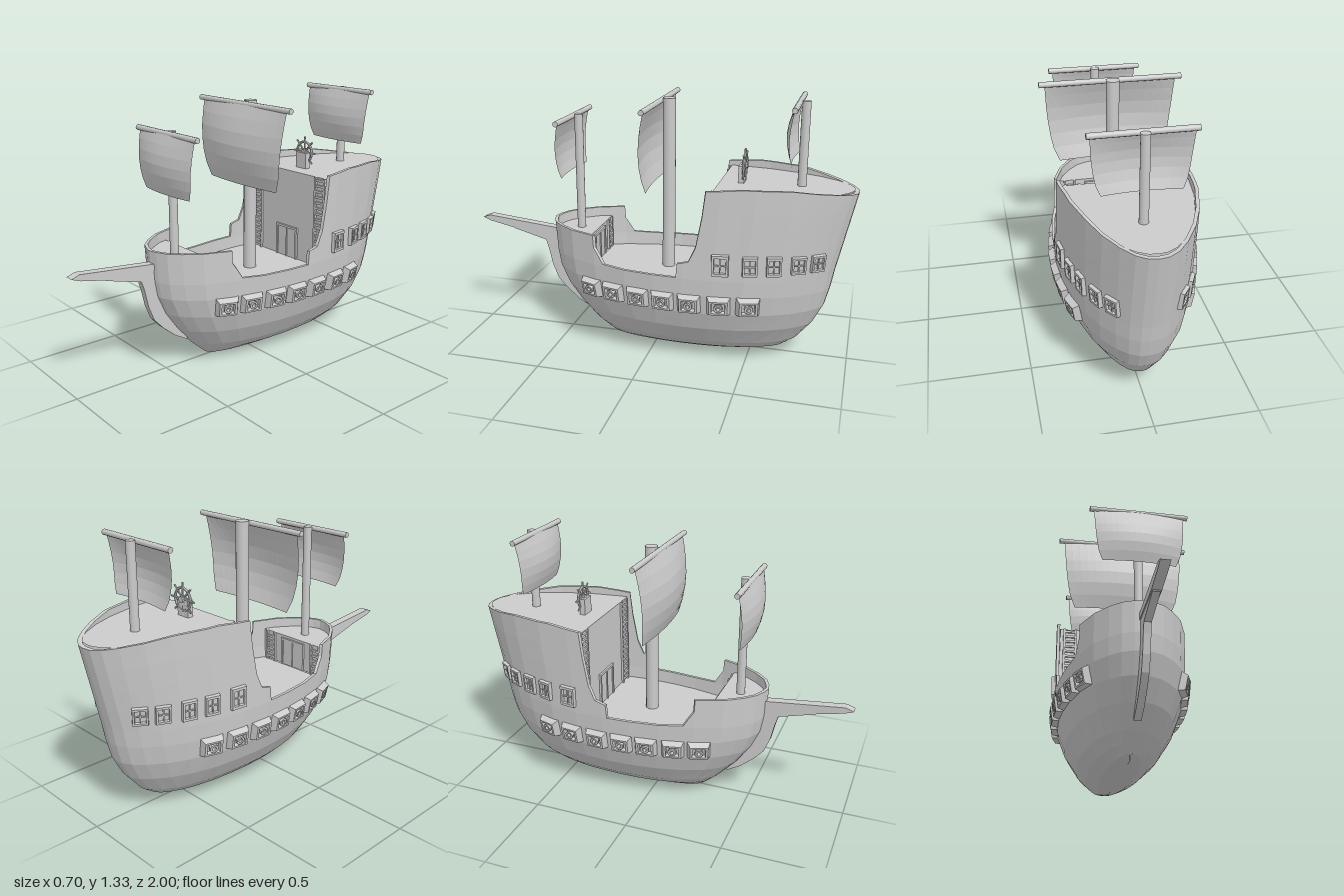
import * as THREE from 'three';

const mat = new THREE.MeshStandardMaterial({ color: 0xcccccc, flatShading: true, side: THREE.DoubleSide });
const smooth = new THREE.MeshStandardMaterial({ color: 0xcccccc });

// Piecewise linear lookup in [[key, value], ...] with ascending keys
function lookup(table, k) {
  if (k <= table[0][0]) return table[0][1];
  for (let i = 1; i < table.length; i++) {
    const [k0, v0] = table[i - 1], [k1, v1] = table[i];
    if (k <= k1) return v0 + (v1 - v0) * (k - k0) / (k1 - k0);
  }
  return table[table.length - 1][1];
}

// Hull lines: bow, stern and half width by height; plan shape and rim height by length
const BOW = [[0, .2], [.015, .25], [.05, .29], [.1, .345], [.2, .435], [.3, .505], [.4, .55], [.485, .565], [.64, .575]];
const STERN = [[0, -.45], [.015, -.53], [.05, -.67], [.1, -.74], [.2, -.82], [.3, -.87], [.4, -.895], [.485, -.91], [.9, -1]];
const WIDTH = [[0, 0], [.015, .085], [.05, .145], [.1, .2], [.2, .265], [.3, .303], [.4, .32], [.485, .325]];
const PLAN = [[-.91, 0], [-.905, .13], [-.88, .28], [-.83, .44], [-.75, .62], [-.65, .77], [-.5, .91], [-.35, .975],
  [-.2, 1], [-.05, .98], [.1, .92], [.27, .8], [.4, .64], [.48, .46], [.53, .3], [.555, .13], [.565, 0]];
const RIM = [[-.91, .895], [-.8, .915], [-.65, .94], [-.45, .945], [-.29, .93], [-.28, .8], [-.26, .65], [-.23, .575],
  [-.175, .56], [-.17, .488], [.1, .488], [.22, .495], [.24, .53], [.268, .575], [.27, .64], [.565, .64]];
const MID = -.1, INSET = .95;
const stations = [...new Set([...PLAN, ...RIM].map(p => p[0]))].sort((a, b) => b - a);

const stretch = (s, y) => s > MID ? (lookup(BOW, y) - MID) / (.565 - MID) : (lookup(STERN, y) - MID) / (-.91 - MID);
function hullPoint(s, y, side, inset = 1) {
  const zInset = inset < 1 ? .975 : 1;
  return new THREE.Vector3(side * lookup(WIDTH, y) * lookup(PLAN, s) * inset, y, MID + (s - MID) * stretch(s, y) * zInset);
}
// Point on the planking at a given length and height
function sidePoint(z, y, side) {
  return hullPoint(MID + (z - MID) / stretch(z, y), y, side);
}

// Surface through a grid of points
function grid(rows) {
  const n = rows[0].length, index = [];
  for (let i = 0; i < rows.length - 1; i++) for (let j = 0; j < n - 1; j++) {
    const a = i * n + j, b = a + n;
    index.push(a, b, b + 1, a, b + 1, a + 1);
  }
  const g = new THREE.BufferGeometry().setFromPoints(rows.flat());
  g.setIndex(index);
  g.computeVertexNormals();
  return g;
}

function add(parent, name, geo, x = 0, y = 0, z = 0, material = mat) {
  const m = new THREE.Mesh(geo, material);
  m.name = name;
  m.position.set(x, y, z);
  parent.add(m);
  return m;
}
const box = (w, h, d) => new THREE.BoxGeometry(w, h, d);

function buildHull(ship) {
  const loop = [...stations.map(s => [s, 1]), ...[...stations].reverse().map(s => [s, -1])];
  const upper = (s, base) => [.25, .5, .75, 1].map(f => base + (lookup(RIM, s) - base) * f);
  add(ship, 'hull', grid(loop.map(([s, side]) =>
    [...WIDTH.map(w => w[0]), ...upper(s, .485)].map(y => hullPoint(s, y, side)))));
  add(ship, 'innerHull', grid(loop.map(([s, side]) =>
    [.4, .485, ...upper(s, .485)].map(y => hullPoint(s, y, side, INSET)))));
  add(ship, 'rim', grid(loop.map(([s, side]) =>
    [1, INSET].map(k => hullPoint(s, lookup(RIM, s), side, k)))));
  // Decks follow the inner hull
  const deck = (name, y, front, back) => {
    const list = [front, ...stations.filter(s => s < front && s > back), back];
    add(ship, name, grid(list.map(s => [1, -1].map(side => hullPoint(s, y, side, INSET)))));
  };
  deck('foreDeck', .59, .565, .34);
  deck('mainDeck', .42, .345, -.335);
  deck('poopDeck', .905, -.305, -.91);
  // Stem and bowsprit
  const stem = new THREE.Shape([[.38, .13], [.45, .17], [.52, .23], [.57, .285], [.6, .36], [.62, .45], [.635, .5],
    [.82, .55], [.83, .565], [.56, .575], [.5, .4], [.36, .16]].map(p => new THREE.Vector2(...p)));
  const sprit = new THREE.Shape([[.5, .54], [.82, .555], [.955, .583], [1, .6], [.96, .615], [.5, .57]]
    .map(p => new THREE.Vector2(...p)));
  for (const [name, shape, w] of [['stem', stem, .036], ['bowsprit', sprit, .046]]) {
    const g = new THREE.ExtrudeGeometry(shape, { depth: w, bevelEnabled: false });
    add(ship, name, g.translate(0, 0, -w / 2).rotateY(-Math.PI / 2));
  }
}

// Bulkhead with door and two ladders; dir is the way it faces
function buildBulkhead(ship, name, z, top, halfWidth, ladderX, ladderW, dir) {
  const g = new THREE.Group(), h = top - .42;
  g.name = name;
  g.position.set(0, .42, z);
  add(g, 'wall', box(halfWidth * 2, h, .012), 0, h / 2, 0);
  const dh = Math.min(.17, h - .02), dz = dir * .009;
  add(g, 'door', box(.14, dh, .012), 0, dh / 2, dir * .005);
  for (const x of [-.075, 0, .075]) add(g, 'doorPost', box(x ? .012 : .004, dh, .016), x, dh / 2, dz);
  add(g, 'doorLintel', box(.162, .012, .016), 0, dh, dz);
  for (const side of [-1, 1]) {
    for (const e of [-1, 1]) add(g, 'ladderRail', box(.012, h, .018), side * ladderX + e * ladderW / 2, h / 2, dz);
    for (let y = .02; y < h - .01; y += .03) add(g, 'ladderRung', box(ladderW, .012, .014), side * ladderX, y, dz);
  }
  ship.add(g);
}

// Mast with yard and a billowing sail
function buildMast(ship, name, o) {
  const g = new THREE.Group();
  g.name = name;
  add(g, 'pole', new THREE.CylinderGeometry(o.r, o.r, o.top - o.base, 16), 0, (o.top + o.base) / 2, o.z, smooth);
  add(g, 'yard', new THREE.CylinderGeometry(.014, .014, o.yard * 2, 10).rotateZ(Math.PI / 2), 0, o.yardY, o.yardZ, smooth);
  const rows = [], outline = [[0, 1], [.35, .975], [.6, .945], [.8, .9], [.92, .86], [1, .8]];
  for (let j = 0; j <= 6; j++) {
    const v = j / 6, w = o.sail * lookup(outline, v), row = [];
    for (let i = 0; i <= 16; i++) {
      const u = i / 8 - 1;
      const z = o.yardZ + o.bulge * Math.sin(Math.PI * Math.min(1, v * .93)) * (.5 + .5 * (1 - u * u)) + .012 * (1 - u * u);
      row.push(new THREE.Vector3(u * w, o.yardY + (o.bottom - o.yardY) * v, z));
    }
    rows.push(row.reverse());
  }
  add(g, 'sail', grid(rows));
  ship.add(g);
}

// Four-sided frame with a recessed centre, facing +z
function frameGeometry(w, h, base, depth) {
  const p = [[base, -.015], [1, depth], [.74, depth], [.7, depth * .3], [0, depth * .3]].map(a => new THREE.Vector2(...a));
  return new THREE.LatheGeometry(p, 4).rotateY(Math.PI / 4).rotateX(Math.PI / 2).scale(w / Math.SQRT2, h / Math.SQRT2, 1);
}

// Group seated on the hull side, its +z pointing outward
function onHull(ship, name, z, y, side) {
  const g = new THREE.Group(), p = sidePoint(z, y, side);
  const along = sidePoint(z - .02, y, side).sub(sidePoint(z + .02, y, side)).multiplyScalar(side).normalize();
  const up = sidePoint(z, y + .02, side).sub(sidePoint(z, y - .02, side)).normalize();
  const out = along.clone().cross(up).normalize();
  g.quaternion.setFromRotationMatrix(new THREE.Matrix4().makeBasis(along, out.clone().cross(along), out));
  g.position.copy(p);
  g.name = name;
  ship.add(g);
  return g;
}

function buildOpenings(ship) {
  const portGeo = frameGeometry(.09, .075, 1.4, .032);
  const barrel = new THREE.LatheGeometry([[.018, 0], [.018, .022], [.022, .024], [.022, .034], [.011, .034], [.011, .012], [0, .012]]
    .map(a => new THREE.Vector2(...a)), 10).rotateX(Math.PI / 2);
  for (const side of [-1, 1]) {
    for (const z of [.29, .165, .03, -.1, -.235, -.38, -.52]) {
      const g = onHull(ship, 'gunPort', z, .355, side);
      add(g, 'portFrame', portGeo);
      add(g, 'cannon', barrel);
    }
    for (const z of [-.385, -.525, -.635, -.745, -.83]) {
      const g = onHull(ship, 'window', z, .57, side);
      const w = z > -.4 ? .08 : .07, h = z > -.4 ? .105 : z > -.7 ? .095 : .085;
      add(g, 'windowFrame', frameGeometry(w, h, 1.08, .018));
      add(g, 'mullion', box(.006, h * .75, .008), 0, 0, .008);
      add(g, 'crossbar', box(w * .75, .006, .008), 0, 0, .008);
    }
  }
}

function buildWheel(ship) {
  const g = new THREE.Group();
  g.name = 'steeringWheel';
  g.position.set(0, .99, -.44);
  add(g, 'pedestal', box(.075, .09, .03), 0, -.045, .012);
  add(g, 'wheelRim', new THREE.TorusGeometry(.055, .007, 6, 20));
  add(g, 'hub', new THREE.CylinderGeometry(.015, .015, .03, 10).rotateX(Math.PI / 2));
  for (let i = 0; i < 4; i++) {
    add(g, 'spoke', new THREE.CylinderGeometry(.005, .005, .165, 6)).rotation.z = i * Math.PI / 4;
  }
  ship.add(g);
}

export function createModel() {
  const ship = new THREE.Group();
  ship.name = 'sailingShip';
  buildHull(ship);
  buildBulkhead(ship, 'aftBulkhead', -.33, .905, .3, .245, .065, 1);
  buildBulkhead(ship, 'foreBulkhead', .34, .59, .22, .165, .055, -1);
  buildMast(ship, 'foreMast', { z: .43, r: .022, base: .58, top: 1.2, yard: .245, yardY: 1.19, yardZ: .458, sail: .225, bottom: .9, bulge: .04 });
  buildMast(ship, 'mainMast', { z: -.053, r: .033, base: .41, top: 1.305, yard: .35, yardY: 1.288, yardZ: -.008, sail: .322, bottom: .88, bulge: .058 });
  buildMast(ship, 'aftMast', { z: -.722, r: .022, base: .9, top: 1.32, yard: .24, yardY: 1.312, yardZ: -.692, sail: .225, bottom: 1.03, bulge: .04 });
  buildOpenings(ship);
  buildWheel(ship);
  return ship;
}
